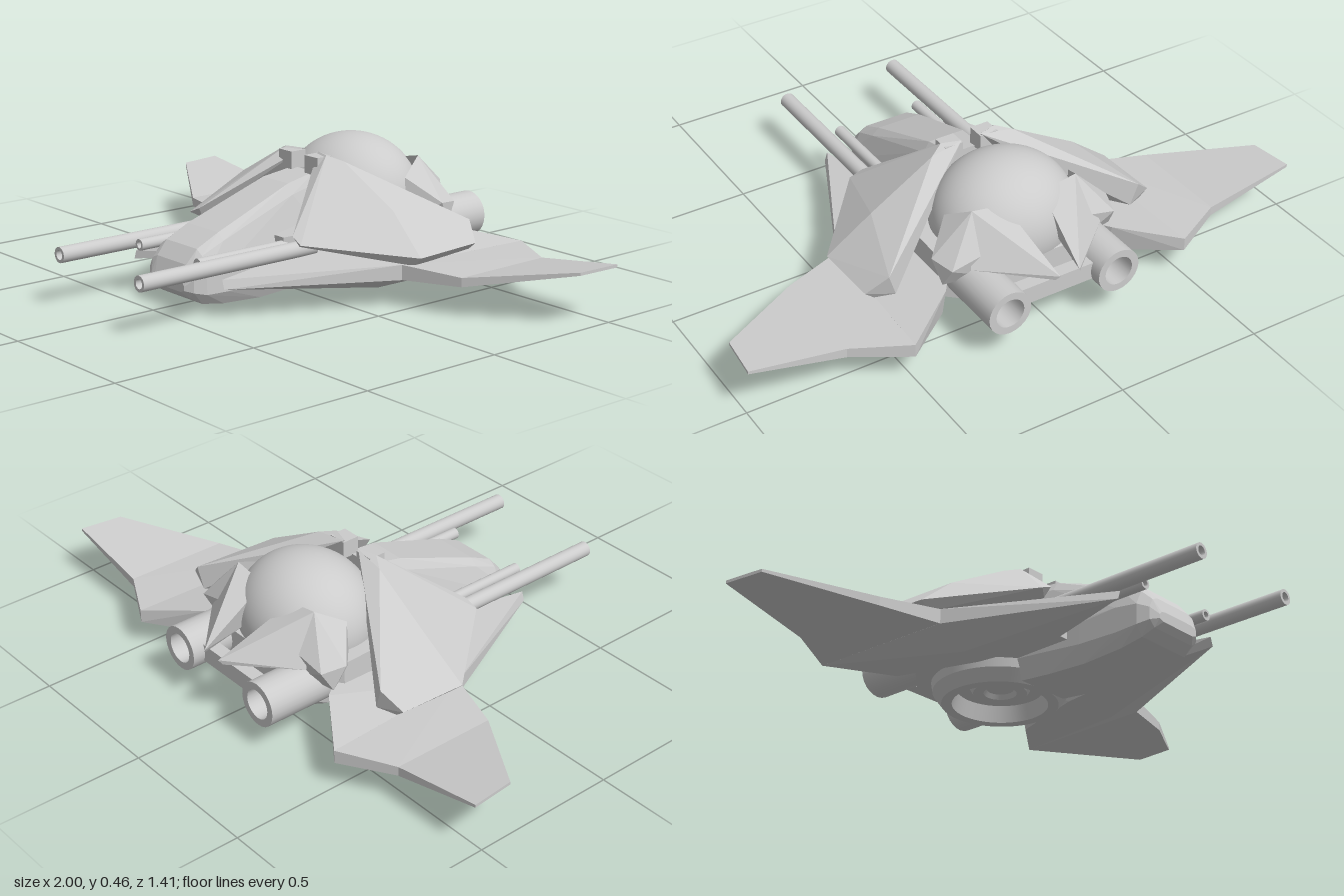
import * as THREE from 'three';
import { ConvexGeometry } from 'three/addons/geometries/ConvexGeometry.js';

const flat = new THREE.MeshStandardMaterial({ color: 0xcccccc, flatShading: true });
const smooth = new THREE.MeshStandardMaterial({ color: 0xcccccc, side: THREE.DoubleSide });

export function createModel() {
  const model = new THREE.Group();

  function add(name, geometry, material, x = 0, y = 0, z = 0) {
    const mesh = new THREE.Mesh(geometry, material);
    mesh.name = name;
    mesh.position.set(x, y, z);
    model.add(mesh);
    return mesh;
  }
  // faceted solid around corner points, mirrored by s
  function hull(name, points, s = 1) {
    return add(name, new ConvexGeometry(points.map(([x, y, z]) => new THREE.Vector3(x * s, y, z))), flat);
  }
  // hollow barrel along z, open at its far end
  function tube(name, x, y, r, inner, zBack, zEnd) {
    const dir = Math.sign(zEnd - zBack), len = Math.abs(zEnd - zBack);
    const depth = Math.min(len * 0.6, r * 2.5);
    const outline = [[0, 0], [r, 0], [r, 0], [r, len], [r, len], [inner, len], [inner, len],
      [inner, len - depth], [inner, len - depth], [0, len - depth]];
    const g = new THREE.LatheGeometry(outline.map(p => new THREE.Vector2(...p)), 24);
    g.rotateX(dir * Math.PI / 2);
    return add(name, g, smooth, x, y, zBack);
  }

  // nose: chamfered sections [z, half width, bottom, top, top half width]
  const nose = [];
  for (const [z, w, y0, y1, t] of [
    [0.445, 0.09, 0.065, 0.10, 0.08], [0.425, 0.115, 0.045, 0.15, 0.10],
    [0.385, 0.13, 0.022, 0.195, 0.105], [0.30, 0.13, 0.008, 0.235, 0.105],
    [0.15, 0.13, 0.0, 0.29, 0.095], [0.0, 0.128, 0.008, 0.345, 0.085],
    [-0.12, 0.125, 0.02, 0.365, 0.07],
  ]) {
    const h = y1 - y0;
    for (const s of [-1, 1]) {
      nose.push([s * w * 0.8, y0, z], [s * w, y0 + h * 0.2, z],
        [s * w, y0 + Math.min(h * 0.6, 0.13), z], [s * t, y1 - h * 0.1, z], [s * t * 0.75, y1, z]);
    }
  }
  hull('nose', nose);

  // central body under the dome
  const core = [];
  for (const s of [-1, 1]) {
    core.push([s * 0.16, 0.09, 0.10], [s * 0.16, 0.20, 0.10], [s * 0.28, 0.09, -0.15], [s * 0.28, 0.24, -0.15],
      [s * 0.29, 0.09, -0.42], [s * 0.29, 0.24, -0.42], [s * 0.16, 0.09, -0.54], [s * 0.16, 0.21, -0.54]);
  }
  hull('coreHull', core);

  const dome = add('dome', new THREE.SphereGeometry(1, 48, 24, 0, Math.PI * 2, 0, Math.PI * 0.6), smooth, 0, 0.25, -0.335);
  dome.scale.set(0.24, 0.21, 0.215);
  dome.rotation.x = 0.12;

  // recessed ring on the belly
  const ring = [[0.235, 0.12], [0.225, 0.06], [0.225, 0.06], [0.195, 0.02], [0.195, 0.02], [0.16, 0.02], [0.16, 0.02],
    [0.145, 0.075], [0.145, 0.075], [0.10, 0.075], [0.10, 0.075], [0.09, 0.06], [0.09, 0.06], [0.055, 0.06],
    [0.055, 0.06], [0.045, 0.075], [0.045, 0.075], [0, 0.075]];
  add('bellyRing', new THREE.LatheGeometry(ring.map(p => new THREE.Vector2(...p)), 48), smooth, 0, 0, -0.31);

  add('engineBridge', new THREE.BoxGeometry(0.28, 0.06, 0.045), flat, 0, 0.165, -0.625);

  for (const s of [1, -1]) {
    // wing: inner delta, then two outer panels
    hull('innerWing', [
      [0.235, 0.10, 0.40], [0.225, 0.13, 0.40], [0.18, 0.07, 0.08], [0.18, 0.15, 0.08],
      [0.48, 0.09, -0.12], [0.48, 0.14, -0.12], [0.36, 0.038, -0.13], [0.22, 0.07, -0.2],
      [0.22, 0.17, -0.38], [0.31, 0.17, -0.50], [0.31, 0.07, -0.48],
      [0.50, 0.09, -0.635], [0.50, 0.135, -0.635]], s);
    hull('middleWing', [
      [0.47, 0.09, -0.115], [0.47, 0.14, -0.115], [0.50, 0.09, -0.635], [0.50, 0.135, -0.635],
      [0.68, 0.10, -0.18], [0.68, 0.13, -0.18], [0.68, 0.10, -0.54], [0.68, 0.132, -0.54]], s);
    hull('wingTip', [
      [0.68, 0.10, -0.18], [0.68, 0.13, -0.18], [0.68, 0.10, -0.54], [0.68, 0.132, -0.54],
      [0.985, 0.167, -0.38], [0.985, 0.177, -0.38], [1.0, 0.17, -0.53], [1.0, 0.18, -0.53]], s);

    // shoulder armour
    hull('shoulder', [
      [0.035, 0.425, -0.15], [0.10, 0.425, -0.13], [0.15, 0.41, -0.16], [0.11, 0.35, -0.07],
      [0.24, 0.225, 0.13], [0.285, 0.205, 0.135], [0.25, 0.19, 0.11], [0.38, 0.285, -0.17],
      [0.53, 0.165, -0.15], [0.50, 0.135, -0.15], [0.53, 0.175, -0.39], [0.50, 0.15, -0.39],
      [0.465, 0.235, -0.425], [0.44, 0.16, -0.42], [0.22, 0.17, -0.15]], s);
    add('domeClamp', new THREE.BoxGeometry(0.065, 0.06, 0.06), flat, s * 0.065, 0.39, -0.125);

    // rear armour beside and behind the dome
    hull('rearFin', [
      [0.07, 0.37, -0.45], [0.19, 0.395, -0.455], [0.17, 0.30, -0.535], [0.035, 0.25, -0.71],
      [0.045, 0.235, -0.70], [0.08, 0.24, -0.52], [0.24, 0.24, -0.53]], s);
    hull('rearGuard', [
      [0.19, 0.395, -0.455], [0.23, 0.34, -0.36], [0.325, 0.26, -0.44], [0.30, 0.25, -0.52],
      [0.17, 0.29, -0.535], [0.31, 0.18, -0.48], [0.20, 0.20, -0.52], [0.24, 0.19, -0.36]], s);

    tube('engine', s * 0.2, 0.165, 0.075, 0.05, -0.42, -0.69);
    tube('longGun', s * 0.212, 0.17, 0.026, 0.016, 0.02, 0.705);
    tube('shortGun', s * 0.152, 0.17, 0.019, 0.011, 0.02, 0.44);
  }
  return model;
}
